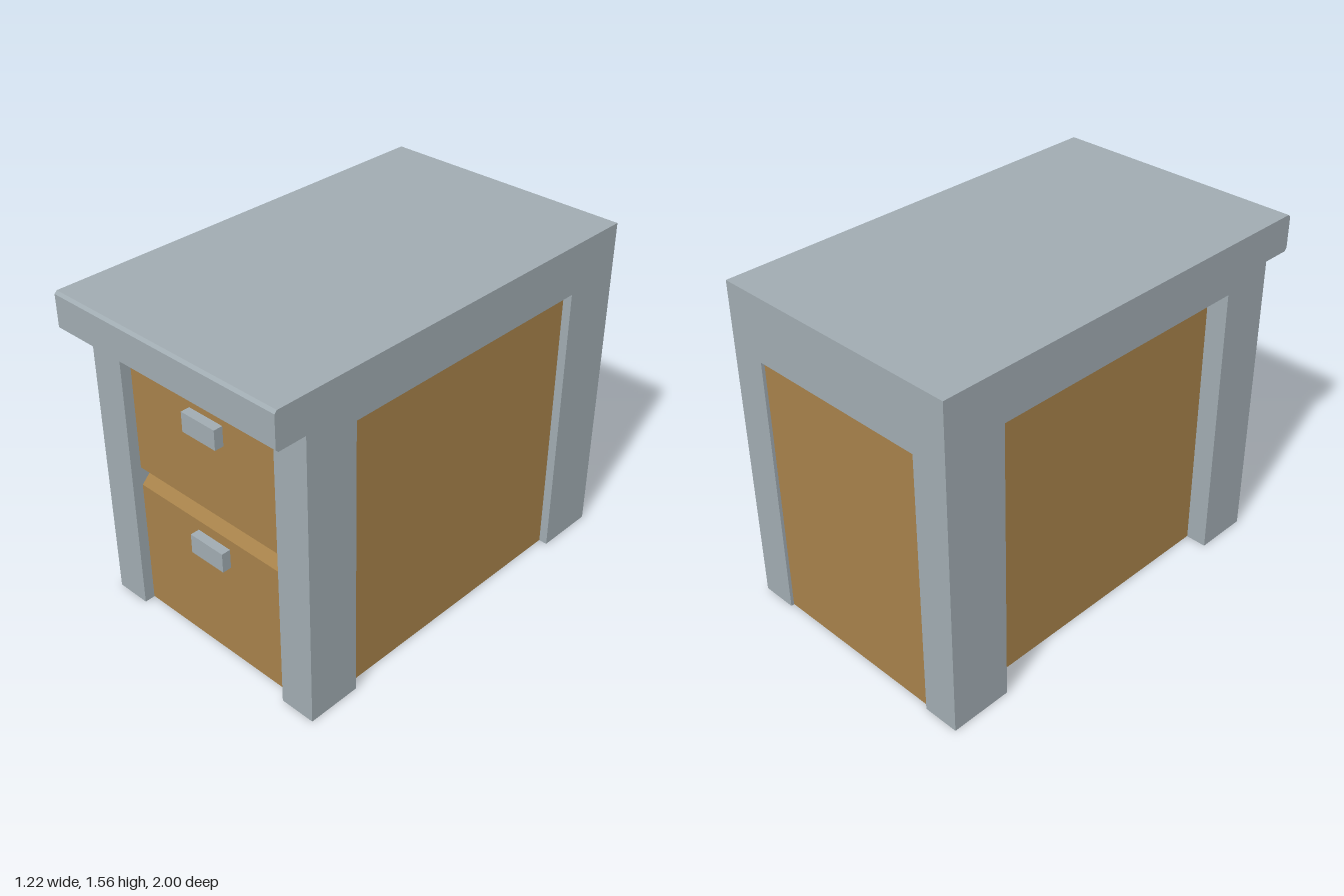
import * as THREE from 'three';

const grey = new THREE.MeshStandardMaterial({ color: 0xa0abb1 });
const wood = new THREE.MeshStandardMaterial({ color: 0xa6814a });

function add(parent, name, geometry, material) {
  const mesh = new THREE.Mesh(geometry, material);
  mesh.name = name;
  parent.add(mesh);
  return mesh;
}

// Box given by its limits on each axis
function box([x0, x1], [y0, y1], [z0, z1]) {
  return new THREE.BoxGeometry(x1 - x0, y1 - y0, z1 - z0)
    .translate((x0 + x1) / 2, (y0 + y1) / 2, (z0 + z1) / 2);
}

const outline = (points) => new THREE.Shape(points.map(([a, b]) => new THREE.Vector2(a, b)));

// Side profile of [z, y] points, stretched across x0..x1
function sideProfile(points, x0, x1) {
  return new THREE.ExtrudeGeometry(outline(points), { depth: x1 - x0, bevelEnabled: false })
    .rotateY(-Math.PI / 2).translate(x1, 0, 0);
}

export function createModel() {
  const model = new THREE.Group();
  model.name = 'drawerCabinet';

  const W = 0.61, H = 1.56, slabY = 1.39, innerX = 0.44;

  // Worktop with an overhanging, slightly chamfered front lip
  const c = 0.012;
  add(model, 'worktop', sideProfile([
    [-1, slabY], [1 - c, slabY], [1, slabY + c], [1, H - c], [1 - c, H], [-1, H],
  ], -W, W), grey);

  // Front and back frames: two posts joined by a header
  const arch = outline([
    [-W, 0], [-innerX, 0], [-innerX, 1.26], [innerX, 1.26],
    [innerX, 0], [W, 0], [W, slabY], [-W, slabY],
  ]);
  for (const [name, z0, z1] of [['frontFrame', 0.6, 0.855], ['backFrame', -1, -0.71]]) {
    add(model, name, new THREE.ExtrudeGeometry(arch, { depth: z1 - z0, bevelEnabled: false })
      .translate(0, 0, z0), grey);
  }

  // Rails above the side openings
  add(model, 'sideRails', box([-W, W], [1.33, slabY], [-0.71, 0.6]), grey);

  // Wooden drawer body with a V groove between the two drawer fronts
  const face = 0.805, groove = 0.045, mid = 0.667;
  add(model, 'drawerBody', sideProfile([
    [-0.985, 0.002], [face, 0.002], [face, mid - groove], [face - groove, mid],
    [face, mid + groove], [face, 1.35], [-0.985, 1.35],
  ], -0.51, 0.57), wood);

  // Drawer handles
  for (const [name, y0] of [['upperHandle', 1.08], ['lowerHandle', 0.48]]) {
    add(model, name, box([-0.085, 0.105], [y0, y0 + 0.093], [face - 0.01, 0.848]), grey);
  }

  return model;
}
